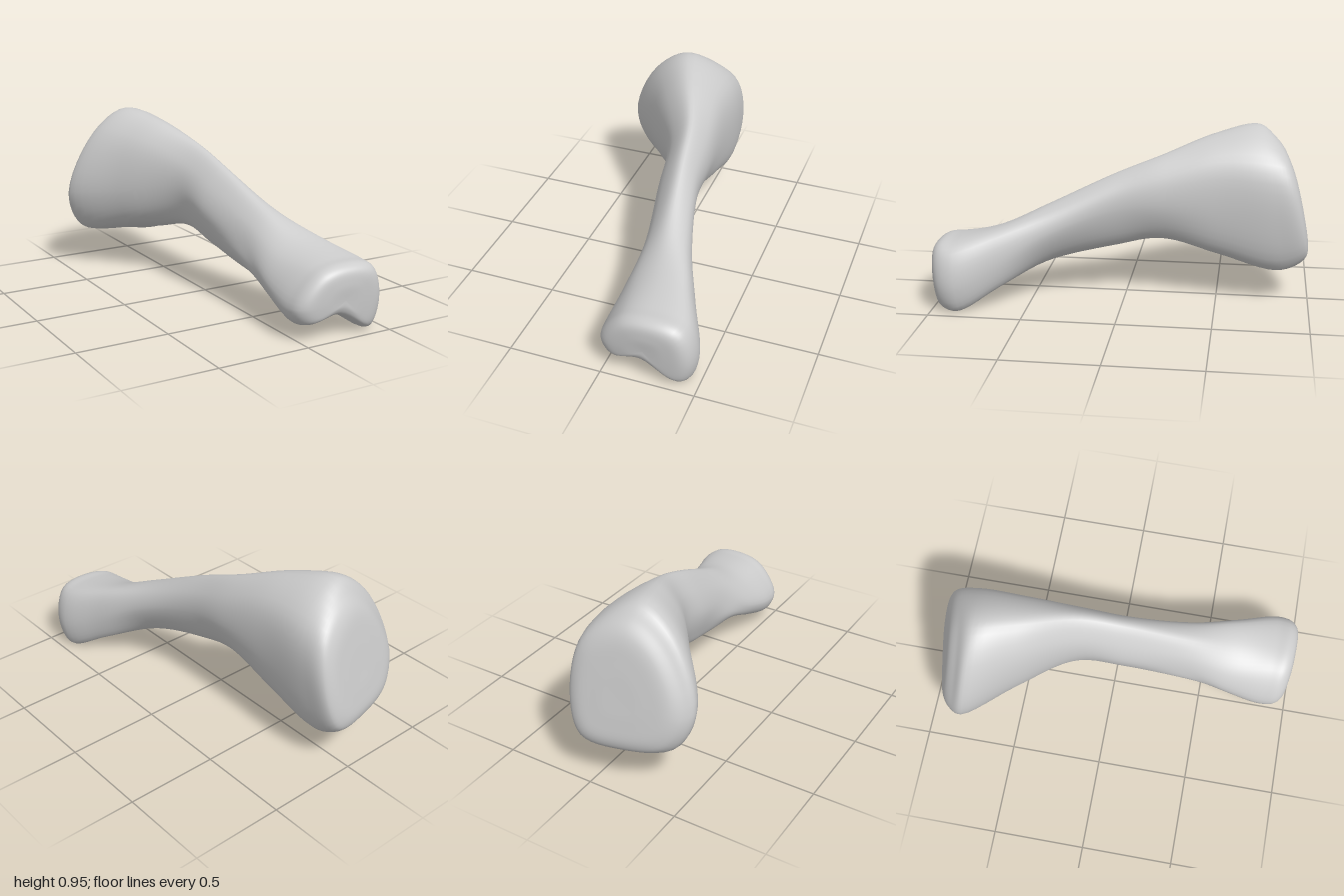
import * as THREE from 'three';

const AROUND = 48, ALONG = 90;

// Cross-section across the bone: left, low left, bottom, low right, right, up right, top, up left.
// tiltX and tiltY lean the section plane along z.
function section(z, tiltX, tiltY, outline) {
  return outline.map(([x, y]) => new THREE.Vector3(x, y, z + tiltX * x + tiltY * (y - 0.5)));
}

// Shrunken copies of an end section that close it off as a rounded cap.
function capRings(ring, steps) {
  const centre = ring.reduce((sum, p) => sum.add(p), new THREE.Vector3()).divideScalar(ring.length);
  return steps.map(([scale, push]) => ring.map((p) => {
    const q = p.clone().sub(centre).multiplyScalar(scale).add(centre);
    q.z += push;
    return q;
  }));
}

// Smooth skin lofted through the rings.
function loft(rings) {
  const smoothRings = rings.map((ring) => {
    const curve = new THREE.CatmullRomCurve3(ring, true);
    return Array.from({ length: AROUND }, (_, i) => curve.getPoint(i / AROUND));
  });
  const positions = new Float32Array(AROUND * (ALONG + 1) * 3);
  const index = [];
  for (let i = 0; i < AROUND; i++) {
    const line = new THREE.CatmullRomCurve3(smoothRings.map((ring) => ring[i]));
    for (let j = 0; j <= ALONG; j++) {
      line.getPoint(j / ALONG).toArray(positions, (j * AROUND + i) * 3);
      if (j === ALONG) continue;
      const a = j * AROUND + i, b = j * AROUND + (i + 1) % AROUND;
      const c = b + AROUND, d = a + AROUND;
      index.push(a, b, d, b, c, d);
    }
  }
  const geometry = new THREE.BufferGeometry();
  geometry.setAttribute('position', new THREE.BufferAttribute(positions, 3));
  geometry.setIndex(index);
  geometry.computeVertexNormals();
  return geometry;
}

export function createModel() {
  const group = new THREE.Group();
  group.name = 'limbBone';

  // Broad wedge-shaped rear end with a slanted face
  const rearRim = section(-0.905, -0.2, 0.22, [
    [-0.45, 0.45], [-0.37, 0.27], [-0.15, 0.22], [0.065, 0.25],
    [0.14, 0.46], [0.1, 0.75], [-0.12, 0.875], [-0.3, 0.77]]);
  const rear = section(-0.785, -0.06, 0.15, [
    [-0.48, 0.46], [-0.385, 0.235], [-0.15, 0.195], [0.08, 0.185],
    [0.16, 0.46], [0.12, 0.78], [-0.13, 0.94], [-0.335, 0.81]]);
  const rearNeck = section(-0.5, 0, 0.05, [
    [-0.285, 0.5], [-0.22, 0.32], [-0.08, 0.26], [0.09, 0.27],
    [0.16, 0.5], [0.12, 0.78], [-0.06, 0.903], [-0.22, 0.78]]);

  // Slim shaft sloping down to the front
  const shaft = [
    section(-0.2, 0, 0, [
      [-0.083, 0.56], [-0.06, 0.42], [0, 0.33], [0.09, 0.35],
      [0.17, 0.52], [0.15, 0.69], [0.05, 0.8], [-0.05, 0.7]]),
    section(0.05, 0, 0, [
      [-0.045, 0.48], [-0.02, 0.35], [0.02, 0.28], [0.11, 0.32],
      [0.185, 0.5], [0.17, 0.62], [0.09, 0.7], [0, 0.61]]),
    section(0.4, 0, 0, [
      [0.005, 0.35], [0, 0.26], [0.06, 0.205], [0.18, 0.23],
      [0.275, 0.38], [0.245, 0.49], [0.14, 0.535], [0.05, 0.46]]),
  ];

  // Front end with two knuckles and a hollow between them
  const frontNeck = section(0.65, 0, 0, [
    [-0.02, 0.22], [0.02, 0.14], [0.17, 0.155], [0.34, 0.11],
    [0.385, 0.25], [0.335, 0.41], [0.19, 0.425], [0.05, 0.35]]);
  const front = section(0.87, 0.04, 0.07, [
    [-0.035, 0.17], [0.01, 0.08], [0.2, 0.11], [0.425, 0],
    [0.48, 0.15], [0.42, 0.345], [0.23, 0.38], [0.08, 0.335]]);

  const rings = [
    ...capRings(rearRim, [[0, -0.045], [0.45, -0.045], [0.82, -0.035]]),
    rearRim, rear, rearNeck, ...shaft, frontNeck, front,
    ...capRings(front, [[0.95, 0.08], [0.8, 0.118], [0.45, 0.134], [0, 0.134]]),
  ];
  const bone = new THREE.Mesh(loft(rings), new THREE.MeshStandardMaterial({ color: 0xcccccc }));
  bone.name = 'bone';
  group.add(bone);
  return group;
}
